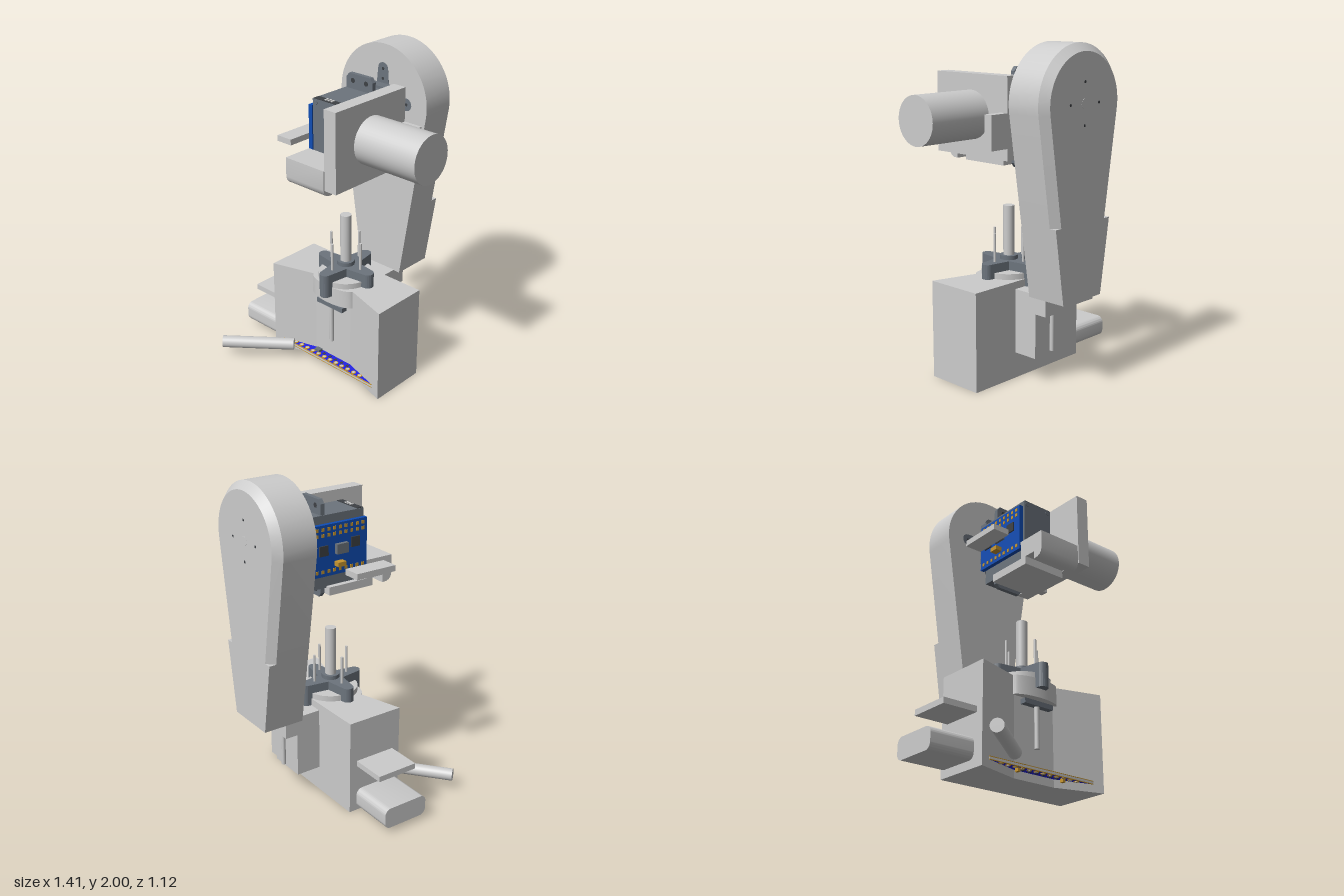
import * as THREE from 'three';
import { toCreasedNormals } from 'three/addons/utils/BufferGeometryUtils.js';
import { ConvexGeometry } from 'three/addons/geometries/ConvexGeometry.js';

export function createModel() {
  const root = new THREE.Group();
  root.name = 'robotArm';
  const paint = (name, color) => {
    const m = new THREE.MeshStandardMaterial({ color });
    m.name = name;
    return m;
  };
  const grey = paint('lightGrey', 0xcccccc);
  const dark = paint('slateGrey', 0x6c747d);
  const black = paint('charcoal', 0x3e4145);
  const blue = paint('boardBlue', 0x0f4db5);
  const bright = paint('brightBlue', 0x2424e6);
  const tan = paint('brass', 0xc8962f);

  const add = (name, geo, mat) => {
    const m = new THREE.Mesh(geo, mat);
    m.name = name;
    root.add(m);
    return m;
  };
  // Box from its extents on each axis
  const box = (name, x0, x1, y0, y1, z0, z1, mat = grey) => {
    const g = new THREE.BoxGeometry(x1 - x0, y1 - y0, z1 - z0);
    g.translate((x0 + x1) / 2, (y0 + y1) / 2, (z0 + z1) / 2);
    return add(name, g, mat);
  };
  // Cylinder between two points
  const rod = (name, a, b, r, mat = grey, seg = 32) => {
    const p = new THREE.Vector3(...a), q = new THREE.Vector3(...b);
    const m = add(name, new THREE.CylinderGeometry(r, r, p.distanceTo(q), seg), mat);
    m.position.copy(p).lerp(q, 0.5);
    m.quaternion.setFromUnitVectors(new THREE.Vector3(0, 1, 0), q.sub(p).normalize());
    return m;
  };
  const shapeOf = pts => new THREE.Shape(pts.map(p => new THREE.Vector2(...p)));
  const extrude = (shape, depth) =>
    new THREE.ExtrudeGeometry(shape, { depth, bevelEnabled: false, curveSegments: 10 });
  // Plan outline given as [x, z], raised from y0 to y1
  const plan = (name, pts, y0, y1, mat) => {
    const g = extrude(shapeOf(pts.map(([x, z]) => [x, -z])), y1 - y0);
    g.rotateX(-Math.PI / 2);
    g.translate(0, y0, 0);
    return add(name, toCreasedNormals(g, 0.25), mat);
  };
  // Side profile given as [z, y], extruded from x0 to x1
  const side = (name, shape, x0, x1, mat = grey) => {
    const g = extrude(shape, x1 - x0);
    g.rotateY(-Math.PI / 2);
    g.translate(x1, 0, 0);
    return add(name, toCreasedNormals(g, 0.5), mat);
  };

  // Base block with a faceted hollow in its front
  plan('baseBlock', [[-0.4, -0.15], [-0.4, 0.215], [-0.11, 0.13], [0.18, 0.13], [0.485, 0.22], [0.485, -0.15]], 0, 0.6, grey);

  // Base circuit board with brass rims and rows of pads on both faces
  plan('baseBoard', [[-0.34, 0.2], [-0.11, 0.132], [0.18, 0.132], [0.42, 0.2]], 0.047, 0.064, bright);
  box('baseBoardEdge', -0.34, 0.42, 0.049, 0.062, 0.199, 0.203, grey);
  for (const y of [0.045, 0.062]) box('baseBoardRim', -0.34, 0.42, y, y + 0.004, 0.199, 0.204, tan);
  for (let i = 0; i < 12; i++) {
    const x = -0.245 + i * 0.05;
    rod('boardPadRing', [x, 0.044, 0.181], [x, 0.0665, 0.181], 0.016, tan, 16);
    rod('boardPadCentre', [x, 0.043, 0.181], [x, 0.0675, 0.181], 0.01, grey, 16);
    if (i > 2 && i < 9) box('boardTrace', x + 0.017, x + 0.033, 0.045, 0.066, 0.145, 0.165, black);
  }
  box('boardChip', -0.09, -0.05, 0.064, 0.08, 0.14, 0.17, dark);
  for (const x of [-0.12, 0.21]) box('boardTerminal', x - 0.01, x + 0.01, 0.026, 0.047, 0.16, 0.185, tan);

  // Parts on the side of the base
  box('sideShelf', -0.62, -0.4, 0.305, 0.34, -0.1, 0.165);
  const pad = new THREE.Shape(), r = 0.04;
  pad.absarc(0.18 - r, 0.165 - r, r, 0, Math.PI / 2);
  pad.absarc(-0.12 + r, 0.165 - r, r, Math.PI / 2, Math.PI);
  pad.absarc(-0.12 + r, 0.035 + r, r, Math.PI, Math.PI * 1.5);
  pad.absarc(0.18 - r, 0.035 + r, r, Math.PI * 1.5, Math.PI * 2);
  side('sidePad', pad, -0.706, -0.427);
  rod('frontTube', [-0.2, 0.1, 0.245], [-0.555, 0.1, 0.532], 0.038);

  // Rear bracket
  box('bracketTop', -0.08, 0.16, 0.435, 0.555, -0.39, -0.15);
  box('bracketBody', -0.08, 0.16, 0.16, 0.435, -0.31, -0.15);

  // Turntable: cup, cross horn, shaft and pins
  const cx = 0.041, cz = 0.02;
  rod('turntableCup', [cx, 0.485, cz], [cx, 0.635, cz], 0.167, grey, 48);
  const cup = [[cx + 0.166, 0], [cx - 0.166, 0]];
  for (let i = 0; i <= 24; i++) {
    const a = Math.PI - i * Math.PI / 24;
    cup.push([cx + 0.166 * Math.cos(a), 0.125 + 0.063 * Math.sin(a)]);
  }
  plan('turntableCupFront', cup, 0.485, 0.6, grey);
  box('cupPlate', -0.062, 0.147, 0.44, 0.47, 0.0, 0.17, dark);
  rod('cupNeck', [cx, 0.47, 0.13], [cx, 0.485, 0.13], 0.012, dark, 16);
  rod('frontPeg', [cx, 0.19, 0.15], [cx, 0.44, 0.15], 0.015, grey, 16);
  rod('rearPeg', [cx, 0.19, -0.335], [cx, 0.435, -0.335], 0.014, grey, 16);
  // Four-armed horn, flat in the xy plane, arms rounded at the tips
  const horn = (reach, root0, tip, depth) => {
    const s = new THREE.Shape();
    for (let k = 0; k < 4; k++) {
      const a = k * Math.PI / 2, c = Math.cos(a), n = Math.sin(a);
      const at = (u, v) => [u * c - v * n, u * n + v * c];
      if (k === 0) s.moveTo(...at(root0, -root0)); else s.lineTo(...at(root0, -root0));
      for (let i = 0; i <= 10; i++) {
        const t = -Math.PI / 2 + i * Math.PI / 10;
        s.lineTo(...at(reach - tip + tip * Math.cos(t), tip * Math.sin(t)));
      }
    }
    s.closePath();
    return extrude(s, depth);
  };
  const cross = add('turntableHorn', horn(0.216, 0.055, 0.036, 0.15), dark);
  cross.rotation.x = -Math.PI / 2;
  cross.position.set(cx, 0.54, cz);
  rod('turntableHub', [cx, 0.54, cz], [cx, 0.715, cz], 0.055, dark);
  rod('turntableShaft', [cx, 0.6, cz], [cx, 1.02, cz], 0.034);
  for (let k = 0; k < 4; k++) {
    const x = cx + 0.12 * Math.cos(k * Math.PI / 2), z = cz + 0.12 * Math.sin(k * Math.PI / 2);
    rod('turntablePin', [x, 0.6, z], [x, 0.865, z], 0.008, grey, 12);
  }

  // Tapered upright arm: upper part chamfered at the back, lower part plain
  const ax = 0.04, ay = 1.67;
  const pts = [];
  for (const [z, d] of [[-0.3, 0], [-0.515, 0], [-0.56, 0.045]]) {
    for (let i = 0; i <= 48; i++) {
      const a = -0.15 + i * (Math.PI + 0.3) / 48;
      pts.push(new THREE.Vector3(ax + (0.33 - d) * Math.cos(a), ay + (0.33 - d) * Math.sin(a), z));
    }
    for (const s of [-1, 1]) pts.push(new THREE.Vector3(ax + s * (0.231 - d), 1, z));
  }
  add('upperArm', toCreasedNormals(new ConvexGeometry(pts), 0.4), grey);
  const lower = extrude(shapeOf([[ax - 0.162, 0.55], [ax + 0.162, 0.55], [ax + 0.231, 1], [ax - 0.231, 1]]), 0.26);
  lower.translate(0, 0, -0.56);
  add('lowerArm', lower, grey);
  rod('armBackBore', [ax, ay, -0.559], [ax, ay, -0.561], 0.028);
  const armHorn = add('armHorn', horn(0.217, 0.05, 0.038, 0.004), dark);
  armHorn.position.set(ax, ay, -0.303);
  for (let k = 0; k < 4; k++) {
    const c = Math.cos(k * Math.PI / 2), s = Math.sin(k * Math.PI / 2);
    rod('armPinBore', [ax + 0.12 * c, ay + 0.12 * s, -0.559], [ax + 0.12 * c, ay + 0.12 * s, -0.561], 0.008, black, 12);
    for (const d of [0.12, 0.18])
      rod('hornHole', [ax + d * c, ay + d * s, -0.3], [ax + d * c, ay + d * s, -0.298], 0.009, black, 12);
  }

  // Servo motor
  const sx0 = -0.067, sx1 = 0.143;
  box('servoBody', sx0, sx1, 1.33, 1.765, -0.2, 0.13, dark);
  box('servoFrontCap', sx0, sx1, 1.33, 1.765, 0.13, 0.178, dark);
  box('servoCapTopBand', sx0 + 0.005, sx1 - 0.005, 1.765, 1.769, 0.135, 0.175, black);
  box('servoGearbox', sx0, sx1, 1.505, 1.78, -0.26, -0.2, dark);
  // Mounting ears with clipped corners
  for (const [y, s] of [[1.755, 1], [1.375, -1]]) {
    const ear = [[sx0 + 0.005, 0], [sx1 - 0.005, 0], [sx1 - 0.005, 0.075], [sx1 - 0.025, 0.1], [sx0 + 0.025, 0.1], [sx0 + 0.005, 0.075]];
    const g = extrude(shapeOf(ear.map(([x, h]) => [x, y + s * h])), 0.027);
    g.translate(0, 0, -0.122);
    add('servoEar', g, dark);
    for (const x of [-0.012, 0.088])
      rod('earHole', [x, y + s * 0.06, -0.123], [x, y + s * 0.06, -0.094], 0.015, black, 16);
  }
  for (const x of [sx0 + 0.022, sx1 - 0.022])
    rod('servoScrew', [x, 1.745, 0.178], [x, 1.745, 0.182], 0.014, dark, 16);
  for (let i = 0; i < 3; i++) box('servoPin', 0.012 + i * 0.022, 0.026 + i * 0.022, 1.769, 1.774, 0.14, 0.165, grey);
  rod('servoCollar', [ax, ay, -0.26], [ax, ay, -0.278], 0.07, dark);
  rod('servoShaft', [ax, ay, -0.275], [ax, ay, -0.3], 0.053, dark);
  rod('servoIdler', [ax, 1.565, -0.26], [ax, 1.565, -0.28], 0.018, dark, 16);

  // Control board on the side of the servo
  box('controlBoard', -0.104, -0.078, 1.415, 1.72, -0.205, 0.175, blue);
  for (const y of [1.445, 1.66, 1.695]) for (let i = 0; i < 9; i++) {
    const z = -0.175 + i * 0.04;
    box('boardPinPad', -0.107, -0.104, y - 0.01, y + 0.01, z - 0.009, z + 0.009, tan);
  }
  box('boardCapacitor', -0.146, -0.104, 1.47, 1.497, -0.055, 0, tan);
  box('boardConnector', -0.128, -0.104, 1.54, 1.6, -0.05, 0.03, dark);
  box('boardProcessor', -0.112, -0.104, 1.56, 1.62, 0.06, 0.12, black);
  box('boardDriver', -0.112, -0.104, 1.54, 1.6, -0.16, -0.1, black);

  // Head: side plate, motor can, blocks and loose shelf
  box('headPlate', 0.2, 0.286, 1.34, 1.815, -0.208, 0.367);
  rod('headMotor', [0.286, 1.58, 0.08], [0.706, 1.58, 0.08], 0.142, grey, 48);
  box('headTab', 0.286, 0.41, 1.41, 1.61, -0.208, -0.155);
  side('headBlock', shapeOf([[0.18, 1.455], [0.367, 1.455], [0.367, 1.34], [0.362, 1.318], [0.35, 1.303], [0.33, 1.294], [0.3, 1.292], [0.3, 1.34], [0.18, 1.34]]), -0.1, 0.194);
  box('headFloor', -0.1, 0.194, 1.29, 1.34, -0.085, 0.225);
  box('sideRest', -0.33, -0.22, 1.447, 1.483, -0.06, 0.21);
  return root;
}
